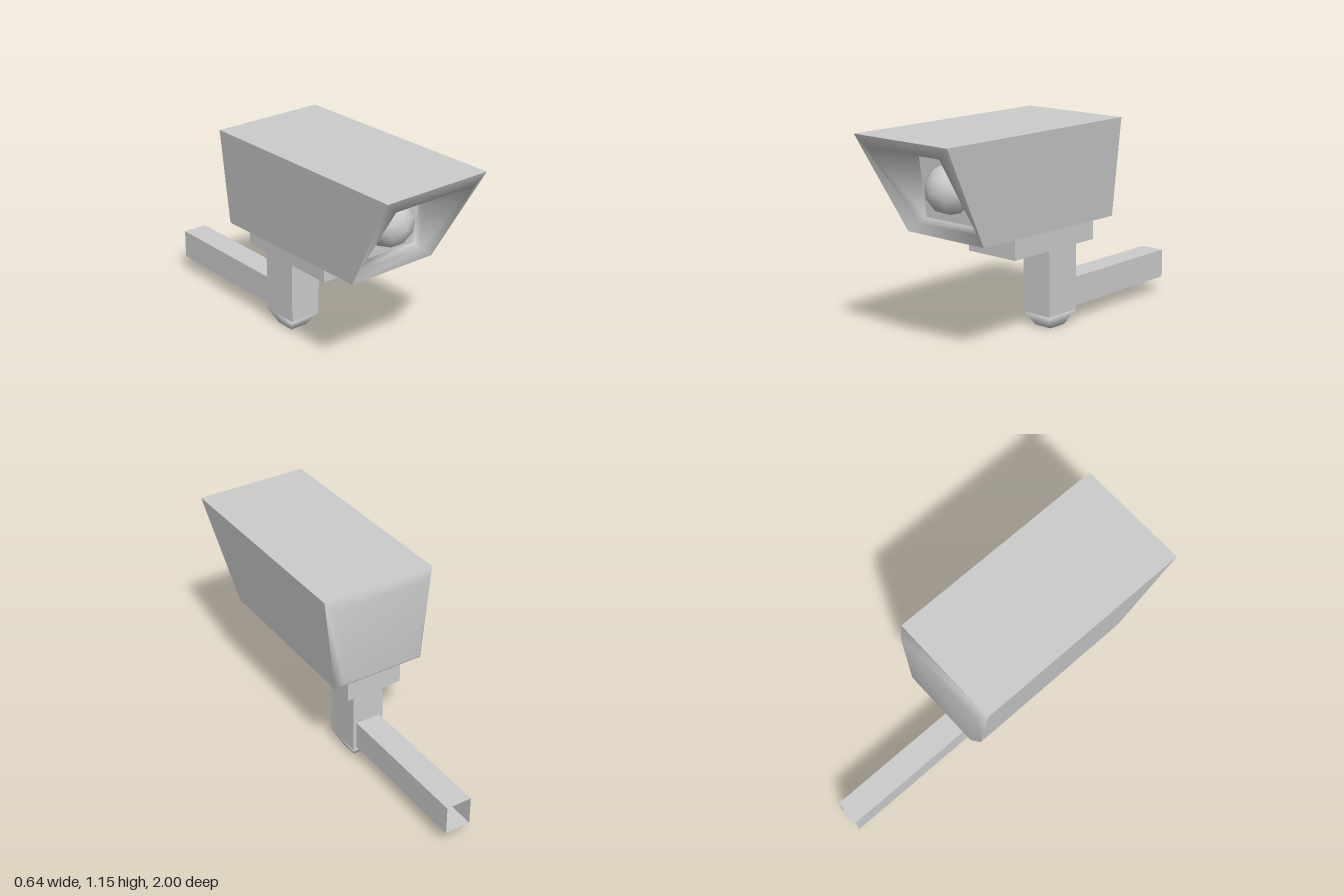
import * as THREE from 'three';
import { mergeVertices } from 'three/addons/utils/BufferGeometryUtils.js';

const grey = new THREE.MeshStandardMaterial({ color: 0xcccccc });
const greyOpen = new THREE.MeshStandardMaterial({ color: 0xcccccc, side: THREE.DoubleSide });

// Trapezoid cross-sections: half width, y and z of the top edge, then of the bottom edge
const backInner = [0.28, 1.11, -0.315, 0.23, 0.655, -0.315];
const backOuter = [0.32, 1.15, -0.275, 0.265, 0.613, -0.275];
const frontOuter = [0.32, 1.15, 1.0, 0.265, 0.622, 0.71];
const rimMiddle = [0.252, 1.09, 0.985, 0.203, 0.67, 0.69];
const rimInner = [0.235, 1.047, 0.66, 0.18, 0.7, 0.66];

// Skin a run of trapezoids (back to front, then inwards), with optional end caps
function loft(rings, { capStart = false, capEnd = false, flat = false } = {}) {
  const points = [];
  for (const [wt, yt, zt, wb, yb, zb] of rings) {
    points.push(wt, yt, zt, -wt, yt, zt, -wb, yb, zb, wb, yb, zb);
  }
  const index = [];
  const quad = (a, b, c, d) => index.push(a, b, c, a, c, d);
  for (let r = 0; r < rings.length - 1; r++) {
    for (let i = 0; i < 4; i++) {
      const j = (i + 1) % 4, a = r * 4, b = a + 4;
      quad(a + i, a + j, b + j, b + i);
    }
  }
  if (capStart) quad(0, 3, 2, 1);
  const e = (rings.length - 1) * 4;
  if (capEnd) quad(e, e + 1, e + 2, e + 3);
  let geometry = new THREE.BufferGeometry();
  geometry.setAttribute('position', new THREE.Float32BufferAttribute(points, 3));
  geometry.setIndex(index);
  if (flat) geometry = geometry.toNonIndexed();
  geometry.computeVertexNormals();
  return geometry;
}

export function createModel() {
  const model = new THREE.Group();
  model.name = 'securityCamera';
  const add = (name, geometry, material = grey) => {
    const mesh = new THREE.Mesh(geometry, material);
    mesh.name = name;
    model.add(mesh);
    return mesh;
  };
  // Box given by its half width in x and its ranges in y and z
  const box = (name, hw, y0, y1, z0, z1) => {
    const mesh = add(name, new THREE.BoxGeometry(hw * 2, y1 - y0, z1 - z0));
    mesh.position.set(0, (y0 + y1) / 2, (z0 + z1) / 2);
    return mesh;
  };

  // Housing: flat walls, softly shaded back, recessed front
  add('housingWalls', loft([backOuter, frontOuter], { flat: true }));
  add('housingBack', loft([backInner, backOuter], { capStart: true }));
  add('frontRim', loft([frontOuter, rimMiddle, rimInner]));
  add('frontPanel', loft([rimInner], { capEnd: true }));

  // Faceted lens with smooth shading
  const lens = add('lens', new THREE.IcosahedronGeometry(0.13, 1));
  lens.position.set(0, 0.868, 0.67);

  // Mount and post
  box('mountBlock', 0.163, 0.475, 0.617, -0.24, 0.38);
  box('post', 0.093, 0.08, 0.475, -0.185, 0.035);

  // Tapered tip under the post
  let tip = new THREE.BoxGeometry(0.186, 0.08, 0.22);
  const p = tip.attributes.position;
  for (let i = 0; i < p.count; i++) {
    if (p.getY(i) < 0) {
      p.setX(i, p.getX(i) * 0.59);
      p.setZ(i, p.getZ(i) * 0.5);
    }
  }
  tip.deleteAttribute('normal');
  tip.deleteAttribute('uv');
  tip = mergeVertices(tip);
  tip.computeVertexNormals();
  add('postTip', tip).position.set(0, 0.04, -0.075);

  // Hollow wall arm, open at the far end
  add('wallArm', loft([
    [0.072, 0.255, -1, 0.072, 0.093, -1],
    [0.072, 0.255, -0.185, 0.072, 0.093, -0.185],
  ], { flat: true }), greyOpen);

  return model;
}
